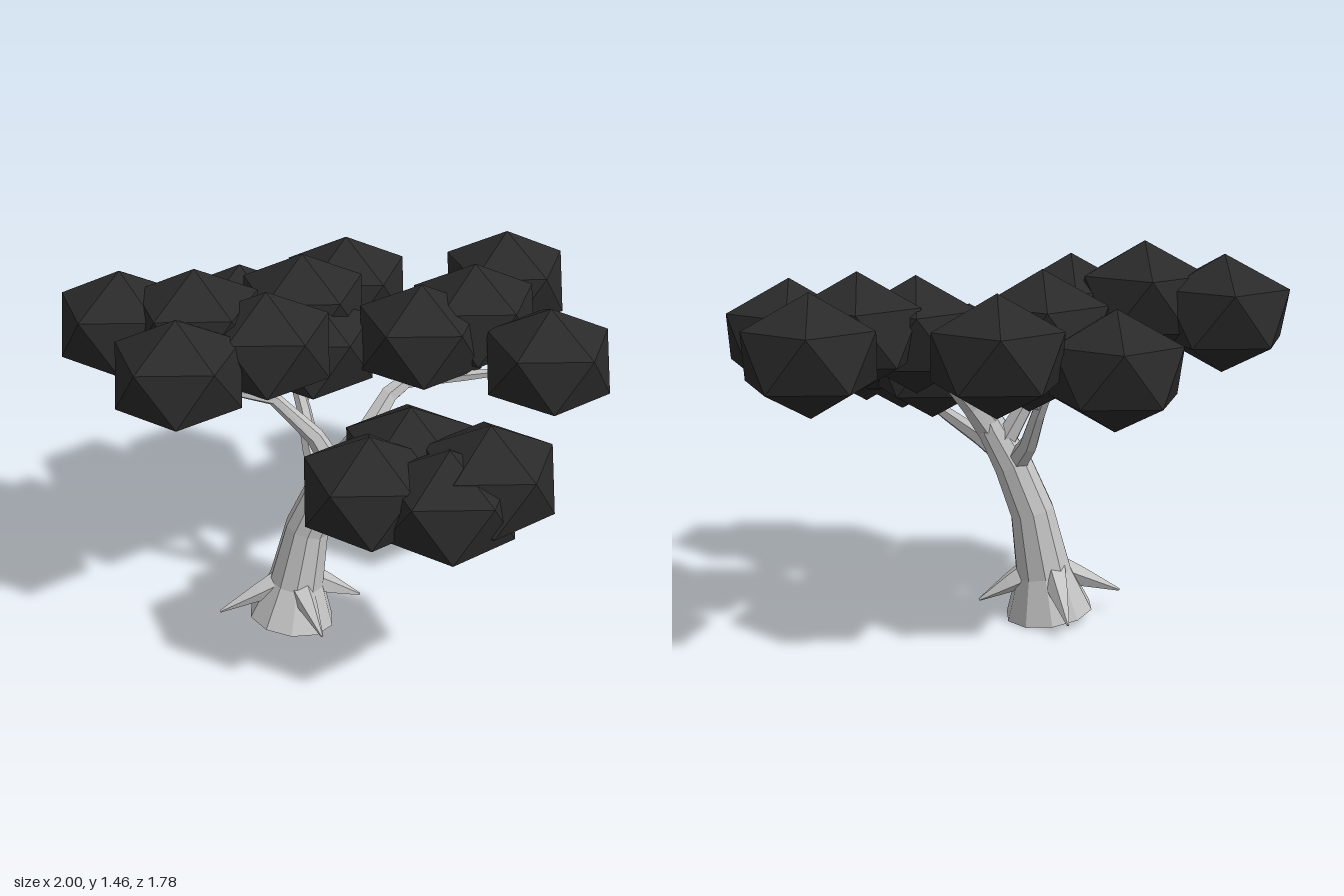
import * as THREE from 'three';

const bark = new THREE.MeshStandardMaterial({ color: 0xc4c4c4 });
bark.name = 'paleBark';
bark.flatShading = true;
const leaf = new THREE.MeshStandardMaterial({ color: 0x2a2a2a });
leaf.name = 'darkFoliage';
leaf.flatShading = true;

// Faceted limb through [x, y, z, radius] stations, capped at both ends
function limb(name, stations, sides = 6) {
  const pts = stations.map(s => new THREE.Vector3(s[0], s[1], s[2]));
  const up = new THREE.Vector3(0, 1, 0);
  const pos = [], index = [];
  pts.forEach((p, i) => {
    const a = pts[Math.max(i - 1, 0)], b = pts[Math.min(i + 1, pts.length - 1)];
    const q = new THREE.Quaternion().setFromUnitVectors(up, b.clone().sub(a).normalize());
    for (let k = 0; k < sides; k++) {
      const t = (k / sides) * Math.PI * 2, r = stations[i][3];
      const v = new THREE.Vector3(Math.cos(t) * r, 0, Math.sin(t) * r).applyQuaternion(q).add(p);
      pos.push(v.x, v.y, v.z);
    }
  });
  for (let i = 0; i < pts.length - 1; i++) {
    for (let k = 0; k < sides; k++) {
      const a = i * sides + k, b = i * sides + (k + 1) % sides;
      index.push(a, a + sides, b, b, a + sides, b + sides);
    }
  }
  const last = (pts.length - 1) * sides;
  for (let k = 1; k < sides - 1; k++) {
    index.push(0, k, k + 1, last, last + k + 1, last + k);
  }
  const g = new THREE.BufferGeometry();
  g.setAttribute('position', new THREE.Float32BufferAttribute(pos, 3));
  g.setIndex(index);
  const flat = g.toNonIndexed();
  flat.computeVertexNormals();
  const mesh = new THREE.Mesh(flat, bark);
  mesh.name = name;
  return mesh;
}

export function createModel() {
  const tree = new THREE.Group();
  tree.name = 'tree';

  // Leaning trunk with a flared foot
  tree.add(limb('trunk', [
    [-0.26, 0.02, -0.09, 0.168], [-0.235, 0.18, -0.095, 0.108], [-0.19, 0.42, -0.085, 0.085],
    [-0.125, 0.6, -0.05, 0.075], [-0.06, 0.73, -0.01, 0.06], [-0.02, 0.84, 0.015, 0.035],
  ], 10));

  // Pointed roots around the foot
  [
    [[-0.28, 0.19, -0.1], [-0.54, 0.08, -0.12]],
    [[-0.18, 0.18, -0.08], [0.01, 0.08, -0.05]],
    [[-0.24, 0.18, -0.05], [-0.23, 0.105, 0.2]],
    [[-0.25, 0.19, -0.15], [-0.23, 0.045, -0.35]],
  ].forEach(([a, b]) => {
    const mid = a.map((v, i) => v * 0.6 + b[i] * 0.4);
    tree.add(limb('root', [[...a, 0.055], [...mid, 0.038], [...b, 0.005]], 5));
  });

  // Branches reaching into each clump of foliage
  tree.add(limb('frontBranch', [
    [-0.11, 0.62, -0.04, 0.045], [-0.06, 0.67, 0.13, 0.035], [0, 0.72, 0.33, 0.027], [0.06, 0.78, 0.55, 0.018],
  ]));
  tree.add(limb('backBranch', [
    [-0.13, 0.6, -0.06, 0.045], [-0.14, 0.7, -0.17, 0.036], [-0.14, 0.83, -0.26, 0.028], [-0.16, 1.0, -0.36, 0.02],
  ]));
  tree.add(limb('leftBranch', [
    [-0.06, 0.72, -0.01, 0.055], [0.02, 0.83, -0.01, 0.045], [0.13, 0.95, -0.06, 0.036], [0.3, 1.05, -0.08, 0.025],
  ]));
  tree.add(limb('leftTwig', [[0.2, 0.99, -0.06, 0.025], [0.4, 1.02, 0.02, 0.02], [0.62, 1.06, 0.12, 0.01]], 5));
  tree.add(limb('leftBackTwig', [[0.24, 1.01, -0.07, 0.02], [0.45, 1.04, -0.22, 0.016], [0.7, 1.1, -0.4, 0.01]], 5));
  tree.add(limb('rightBranch', [
    [-0.09, 0.68, -0.04, 0.045], [-0.16, 0.82, -0.07, 0.035], [-0.3, 0.98, -0.12, 0.026], [-0.52, 1.07, -0.1, 0.012],
  ]));
  tree.add(limb('rightBackTwig', [[-0.28, 0.96, -0.12, 0.02], [-0.45, 1.05, -0.28, 0.016], [-0.7, 1.12, -0.42, 0.008]], 5));
  tree.add(limb('backTwig', [[-0.14, 0.86, -0.27, 0.02], [-0.02, 0.98, -0.42, 0.016], [0.14, 1.06, -0.6, 0.008]], 5));

  // Squashed icosahedra standing on a vertex
  const ball = new THREE.IcosahedronGeometry(1, 0);
  ball.rotateZ(-Math.atan(2 / (1 + Math.sqrt(5))));
  ball.scale(0.263, 0.215, 0.263 * 0.94 / 0.951 * 1.02);
  ball.computeVertexNormals();
  [
    [-0.77, 1.2, -0.47], [-0.53, 1.24, -0.31], [-0.31, 1.185, -0.15], [-0.67, 1.18, -0.05],
    [-0.08, 1.175, -0.44], [-0.26, 1.06, -0.67], [0.16, 1.13, -0.63], [-0.09, 1.07, -0.3],
    [0.28, 1.13, -0.13], [0.51, 1.16, -0.17], [0.76, 1.14, -0.45], [0.67, 1.1, 0.16],
    [-0.15, 0.91, 0.5], [0.05, 0.92, 0.37], [0.24, 0.95, 0.63], [0.08, 0.9, 0.66],
  ].forEach(p => {
    const m = new THREE.Mesh(ball, leaf);
    m.position.set(...p);
    m.name = 'foliageClump';
    tree.add(m);
  });
  return tree;
}
